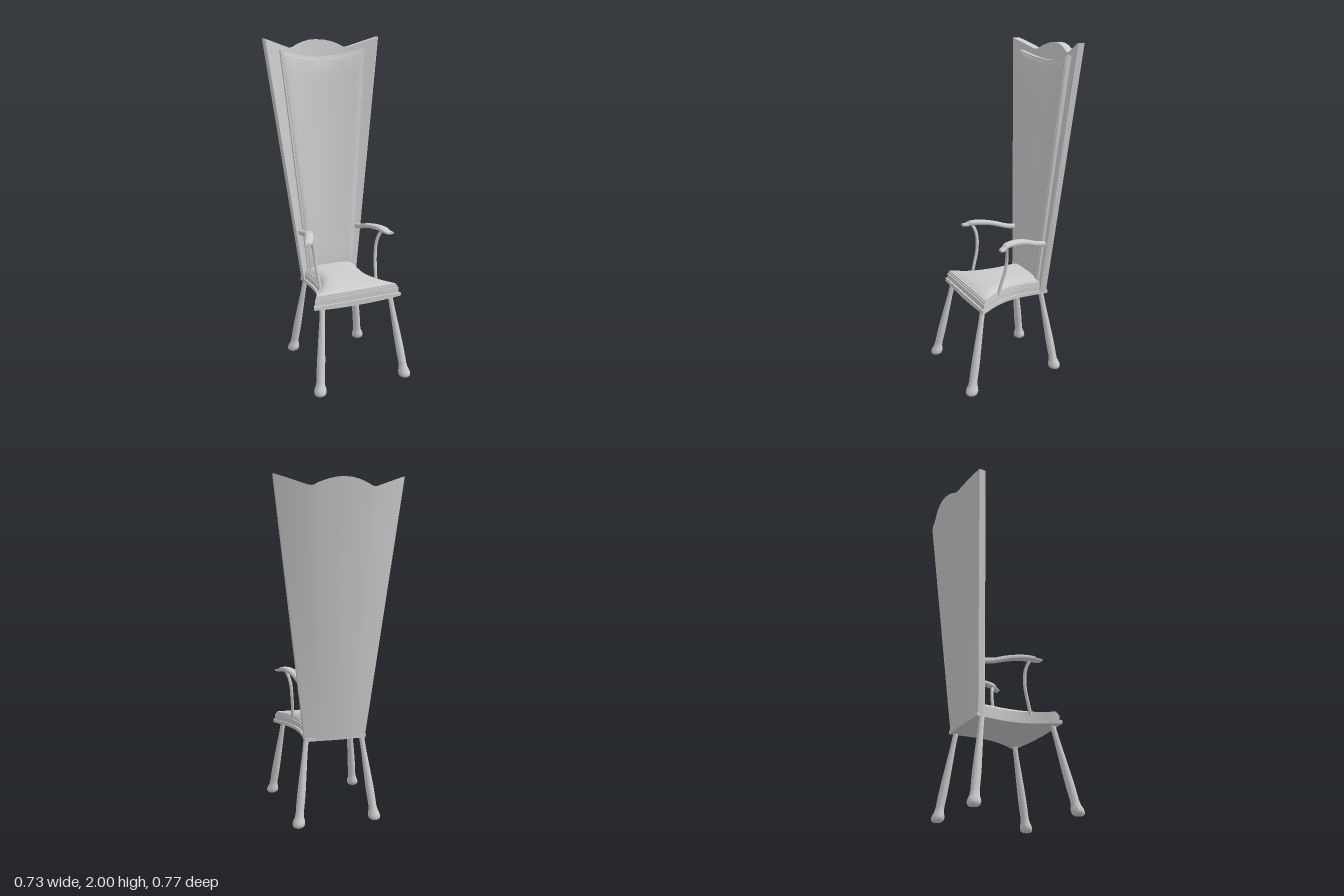
import * as THREE from 'three';
import { toCreasedNormals } from 'three/addons/utils/BufferGeometryUtils.js';

const mat = new THREE.MeshStandardMaterial({ color: 0xcccccc });
const lerp = THREE.MathUtils.lerp;

// piecewise-linear lookup in a short [position, value] profile
function at(profile, t) {
  if (t <= profile[0][0]) return profile[0][1];
  for (let i = 1; i < profile.length; i++) {
    const [a, va] = profile[i - 1], [b, vb] = profile[i];
    if (t <= b) return lerp(va, vb, (t - a) / (b - a));
  }
  return profile[profile.length - 1][1];
}

// closed solid between two facing surfaces: face(u, v) and rear(u, v), u in -1..1, v in 0..1
function slab(us, vs, face, rear) {
  const n = us.length - 1, size = 2 * n + 2, pos = [], idx = [];
  for (const v of vs) {
    for (let j = 0; j <= n; j++) pos.push(...face(us[j], v));
    for (let j = n; j >= 0; j--) pos.push(...rear(us[j], v));
  }
  const quad = (a, b, c, d) => idx.push(a, b, c, a, c, d);
  for (let i = 0; i < vs.length - 1; i++) {
    for (let j = 0; j < size; j++) {
      const k = (j + 1) % size, o = i * size;
      quad(o + j, o + k, o + size + k, o + size + j);
    }
  }
  const top = (vs.length - 1) * size;
  for (let j = 0; j < n; j++) {
    const bj = size - 1 - j;
    quad(j, bj, bj - 1, j + 1);
    quad(top + j, top + j + 1, top + bj - 1, top + bj);
  }
  const g = new THREE.BufferGeometry();
  g.setAttribute('position', new THREE.Float32BufferAttribute(pos, 3));
  g.setIndex(idx);
  return toCreasedNormals(g, 0.6);
}

// even steps with extra ones close to both ends
function steps(a, b, n, edge) {
  const out = [a, a + edge / 2];
  for (let i = 0; i <= n; i++) out.push(lerp(a + edge, b - edge, i / n));
  return [...out, b - edge / 2, b];
}

export function createModel() {
  const chair = new THREE.Group();
  const add = (name, geometry) => {
    const m = new THREE.Mesh(geometry, mat);
    m.name = name;
    chair.add(m);
  };

  // tall flaring back, curved in plan, with a scalloped crest
  const crest = [[0, 1.987], [0.12, 1.984], [0.25, 1.973], [0.36, 1.957], [0.43, 1.943], [0.5, 1.938], [1, 2]];
  const shell = (thick, bevel) => (u, v) => {
    const a = Math.abs(u);
    const y = lerp(0.5, at(crest, a), v);
    const rim = bevel && a === 1 ? 0.008 : 0;
    const bow = lerp(0.015, 0.083, v) * (1 - Math.pow(a, 1.8));
    return [u * lerp(0.182, 0.367, v), y, lerp(-0.163, -0.257, v) - bow - thick(v) - rim];
  };
  add('backShell', slab(steps(-1, 1, 32, 0.04), steps(0, 1, 12, 0.02),
    shell(() => 0, true), shell(v => lerp(0.042, 0.048, v), false)));

  // upholstered panel on the back: backing board, piping border and pad
  const panel = (inset, out, round) => (u, v) => {
    const top = lerp(1.888, 1.932, u * u) - inset;
    const soft = round * (Math.pow(Math.abs(u), 24) + Math.pow(Math.abs(2 * v - 1), 60));
    return [u * (lerp(0.152, 0.272, v) - inset), lerp(0.57, top, v),
      lerp(-0.156, -0.253, v) - lerp(0.004, 0.04, v) * (1 - u * u) + out - Math.min(soft, round)];
  };
  const pu = steps(-1, 1, 24, 0.06), pv = steps(0, 1, 14, 0.012);
  add('backPanelBoard', slab(pu, pv, panel(0.004, -0.01, 0), panel(0.004, -0.05, 0)));
  add('backPanelBorder', slab(pu, pv, panel(0, 0, 0.004), panel(0, -0.022, 0)));
  add('backPanelPad', slab(pu, pv, panel(0.012, 0.007, 0.007), panel(0.012, -0.01, 0)));

  // seat plan: wide front, waisted sides
  const side = new THREE.SplineCurve([[0.265, 0.28], [0.17, 0.227], [0.08, 0.188], [0, 0.174],
    [-0.1, 0.177], [-0.215, 0.185]].map(p => new THREE.Vector2(...p)));
  const seatLayer = (inset, back, height) => (u, v) => {
    const p = side.getPoint(v);
    const z = lerp(0.268 - inset, back, v);
    return [u * (p.y - inset), height(u, v), z];
  };
  const su = steps(-1, 1, 16, 0.08), sv = steps(0, 1, 18, 0.04);
  const layer = (name, inset, back, y0, y1) => add(name, slab(su, sv,
    seatLayer(inset, back, () => y1), seatLayer(inset, back, y0)));
  const skirt = (u, v) => 0.5 - 0.012 * (1 - u * u) * Math.pow(1 - v, 3);
  layer('seatSkirt', 0, -0.215, skirt, 0.52);
  layer('seatRail', 0.01, -0.2, () => 0.515, 0.552);
  layer('seatMoulding', 0.016, -0.19, () => 0.55, 0.564);
  layer('seatPiping', 0.022, -0.18, () => 0.56, 0.573);
  const dome = (u, v) => 0.571 + 0.011 * (1 - Math.pow(Math.abs(u), 10)) * (1 - Math.pow(1 - v, 20))
    + 0.022 * (1 - Math.pow(u, 6)) * Math.min(1, Math.sin(Math.min(v * 1.7, 1) * Math.PI / 2));
  add('seatCushion', slab(su, sv, seatLayer(0.028, -0.17, dome), seatLayer(0.028, -0.17, () => 0.56)));

  // turned legs, splayed by shearing a lathe
  const legProfile = [[0, 0], [0.024, 0], [0.034, 0.008], [0.037, 0.022], [0.034, 0.038], [0.027, 0.056],
    [0.024, 0.085], [0.025, 0.15], [0.024, 0.21], [0.02, 0.32], [0.016, 0.42], [0.015, 0.51], [0, 0.51]];
  const leg = (name, foot, head) => {
    const g = new THREE.LatheGeometry(legProfile.map(p => new THREE.Vector2(...p)), 24);
    const p = g.attributes.position;
    for (let i = 0; i < p.count; i++) {
      const t = p.getY(i) / 0.5;
      p.setX(i, p.getX(i) + lerp(foot[0], head[0], t));
      p.setZ(i, p.getZ(i) + lerp(foot[1], head[1], t));
    }
    add(name, toCreasedNormals(g, 0.9));
  };

  // arm stations from the tip to the back: z, centre x, width, top y, thickness
  const stations = [[0.148, 0.265, 0.045, 0.868, 0.014], [0.122, 0.252, 0.048, 0.876, 0.02],
    [0.105, 0.242, 0.05, 0.888, 0.026], [0.06, 0.227, 0.052, 0.892, 0.028], [0, 0.209, 0.052, 0.887, 0.028],
    [-0.06, 0.197, 0.046, 0.874, 0.03], [-0.12, 0.191, 0.036, 0.854, 0.03], [-0.185, 0.19, 0.032, 0.842, 0.03]];
  const armPath = [1, 2, 3, 4].map(k => new THREE.SplineCurve(
    stations.map(s => new THREE.Vector2(s[0], s[k]))));
  const au = [-1, -0.92, -0.75, -0.4, 0, 0.4, 0.75, 0.92, 1];
  const av = Array.from({ length: 29 }, (_, i) => i / 28);

  for (const [label, s] of [['left', 1], ['right', -1]]) {
    leg(label + 'FrontLeg', [s * 0.279, 0.348], [s * 0.22, 0.242]);
    leg(label + 'BackLeg', [s * 0.234, -0.25], [s * 0.17, -0.178]);

    const arm = dir => (u, v) => {
      const [x, w, top, h] = armPath.map(c => c.getPoint(v).y);
      const round = Math.sqrt(Math.max(0, 1 - Math.pow(u, 4)));
      return [s * x + u * w / 2, top - h / 2 + dir * h / 2 * (0.25 + 0.75 * round), armPath[0].getPoint(v).x];
    };
    add(label + 'Armrest', slab(au, av, arm(1), arm(-1)));

    // curved arm support
    const post = new THREE.CatmullRomCurve3([[0.184, 0.54, 0.125], [0.188, 0.62, 0.105], [0.196, 0.7, 0.083],
      [0.204, 0.78, 0.076], [0.216, 0.83, 0.082], [0.236, 0.876, 0.1]]
      .map(([x, y, z]) => new THREE.Vector3(s * x, y, z)));
    add(label + 'ArmSupport', new THREE.TubeGeometry(post, 24, 0.01, 10));
  }
  return chair;
}
